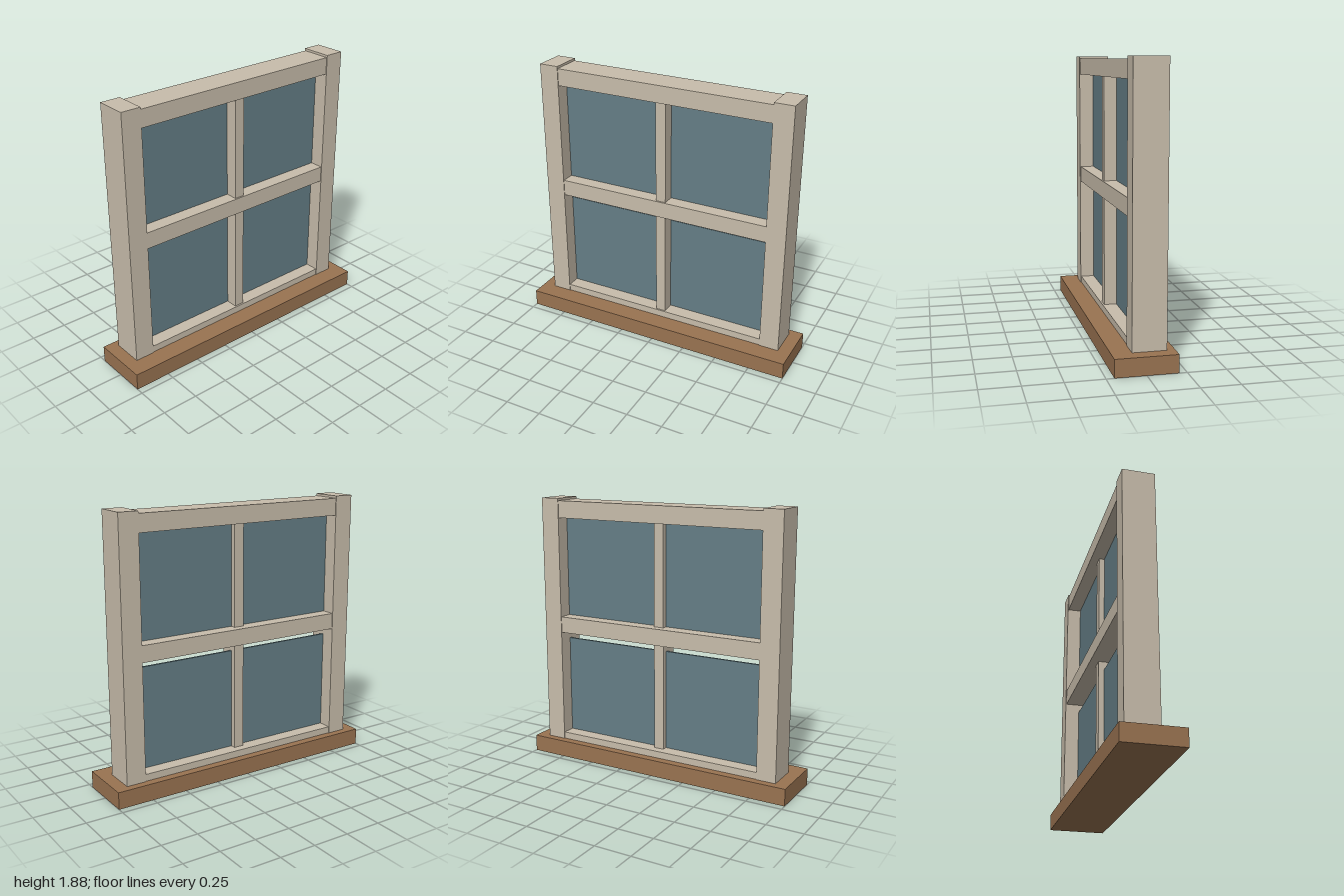
import * as THREE from 'three';

export function createModel() {
  const group = new THREE.Group();
  const paint = new THREE.MeshStandardMaterial({ name: 'beigePaint', color: 0xc8bdab });
  const wood = new THREE.MeshStandardMaterial({ name: 'brownWood', color: 0x997351 });
  const glass = new THREE.MeshStandardMaterial({ name: 'blueGlass', color: 0x657e86 });

  // Box given by its extents on each axis
  const block = (name, material, [x0, x1], [y0, y1], [z0, z1]) => {
    const mesh = new THREE.Mesh(new THREE.BoxGeometry(x1 - x0, y1 - y0, z1 - z0), material);
    mesh.position.set((x0 + x1) / 2, (y0 + y1) / 2, (z0 + z1) / 2);
    mesh.name = name;
    group.add(mesh);
  };

  const sillTop = 0.117, inner = 0.775, outer = 0.912;
  const span = [-inner, inner];
  const railDepth = [-0.143, 0.067], barDepth = [-0.085, 0.055], paneDepth = [-0.047, -0.031];

  block('sill', wood, [-1, 1], [0, sillTop], [-0.2, 0.2]);

  // Side posts, standing slightly proud of the rails
  block('leftPost', paint, [inner, outer], [sillTop, 1.882], [-0.148, 0.072]);
  block('rightPost', paint, [-outer, -inner], [sillTop, 1.882], [-0.148, 0.072]);

  // Horizontal rails
  block('topRail', paint, span, [1.747, 1.866], railDepth);
  block('middleRail', paint, span, [0.925, 1.039], railDepth);
  block('bottomRail', paint, span, [sillTop, 0.165], railDepth);

  // Centre glazing bars
  block('upperBar', paint, [-0.036, 0.036], [1.039, 1.747], barDepth);
  block('lowerBar', paint, [-0.036, 0.036], [0.165, 0.925], barDepth);

  // Panes; the lower ones stop short, leaving an open gap
  for (const [side, xs] of [['left', [0.036, inner]], ['right', [-inner, -0.036]]]) {
    block(side + 'UpperPane', glass, xs, [1.039, 1.747], paneDepth);
    block(side + 'LowerPane', glass, xs, [0.165, 0.866], paneDepth);
  }
  return group;
}
